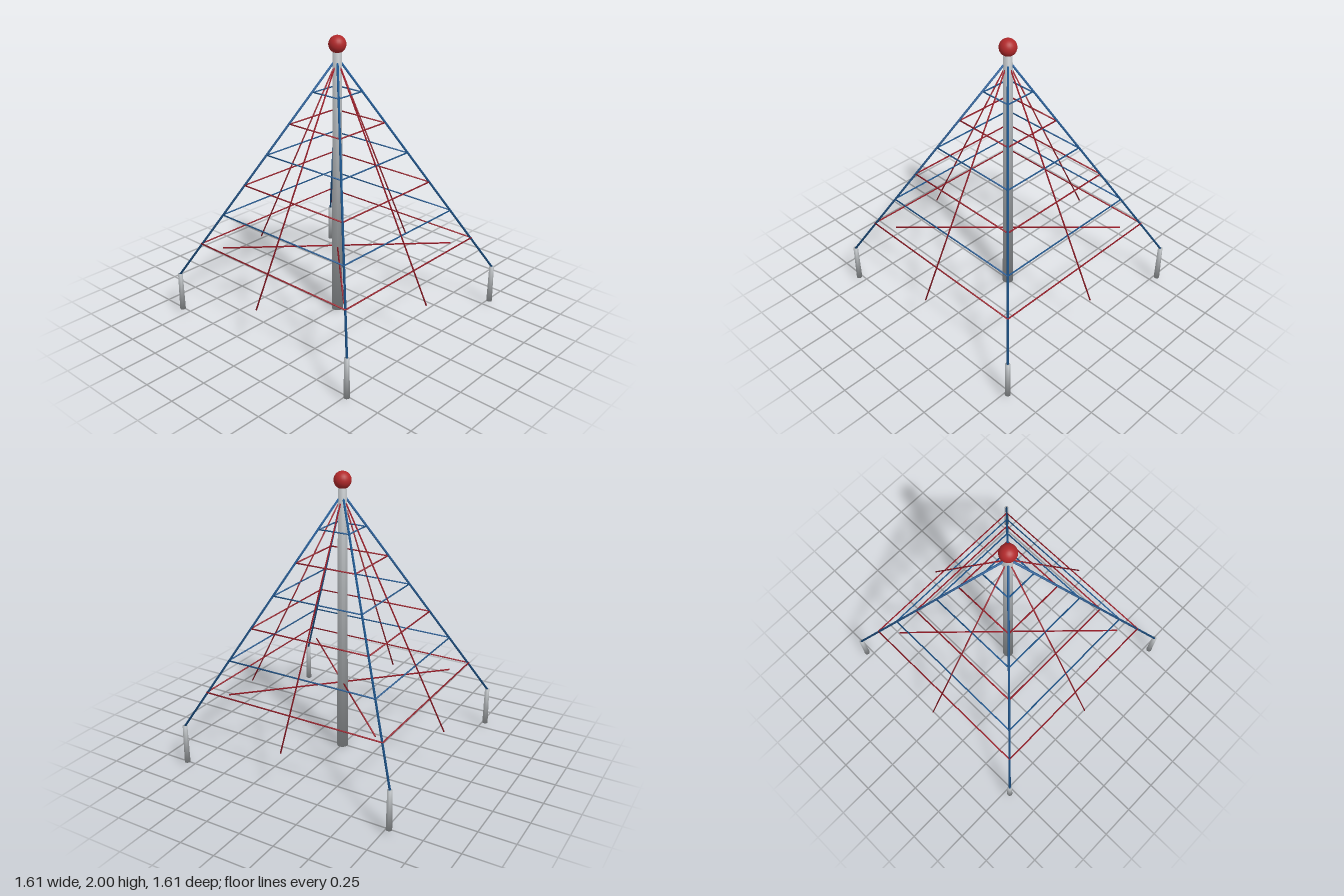
import * as THREE from 'three';

const paint = (name, color) => {
  const m = new THREE.MeshStandardMaterial({ color });
  m.name = name;
  return m;
};

// Cylinder whose shading rolls softly over its ends
function softCylinder(top, bottom, height, sides) {
  const geometry = new THREE.CylinderGeometry(top, bottom, height, sides);
  const { position, normal } = geometry.attributes;
  const n = new THREE.Vector3();
  for (let i = 0; i < position.count; i++) {
    n.fromBufferAttribute(position, i);
    n.y = Math.sign(n.y) * (n.y > 0 ? top : bottom);
    n.normalize();
    normal.setXYZ(i, n.x, n.y, n.z);
  }
  return geometry;
}

export function createModel() {
  const steel = paint('galvanised steel', 0xacb0b3);
  const blue = paint('blue rope', 0x1f5a94);
  const red = paint('red rope', 0x9c1c28);
  const ballRed = paint('ball red', 0xb1292b);

  const model = new THREE.Group();
  model.name = 'climbingNet';
  const add = (name, geometry, material, x = 0, y = 0, z = 0) => {
    const mesh = new THREE.Mesh(geometry, material);
    mesh.name = name;
    mesh.position.set(x, y, z);
    model.add(mesh);
    return mesh;
  };

  // Straight rope between two points
  const up = new THREE.Vector3(0, 1, 0);
  const rope = (name, a, b, radius, material) => {
    const start = new THREE.Vector3(...a), end = new THREE.Vector3(...b);
    const dir = end.clone().sub(start);
    const mid = start.add(end).multiplyScalar(0.5);
    const mesh = add(name, softCylinder(radius, radius, dir.length(), 8), material, mid.x, mid.y, mid.z);
    mesh.quaternion.setFromUnitVectors(up, dir.normalize());
  };

  // Tapered mast with a ball on top
  add('mast', softCylinder(0.03, 0.04, 1.9, 20), steel, 0, 0.95, 0);
  add('topBall', new THREE.SphereGeometry(0.059, 24, 16), ballRed, 0, 1.941, 0);

  // Corner anchor posts, main ropes and low diagonal spokes
  const corners = [[1, 1], [1, -1], [-1, -1], [-1, 1]];
  for (const [sx, sz] of corners) {
    add('anchorPost', softCylinder(0.0165, 0.02, 0.28, 12), steel, sx * 0.786, 0.166, sz * 0.786);
    rope('cornerRope', [sx * 0.016, 1.822, sz * 0.016], [sx * 0.786, 0.304, sz * 0.786], 0.0075, blue);
    rope('lowSpoke', [0, 0.502, 0], [sx * 0.567, 0.502, sz * 0.567], 0.0055, red);
  }

  // Thin ropes down the middle of each face
  for (const [dx, dz] of [[1, 0], [-1, 0], [0, 1], [0, -1]]) {
    rope('faceRope', [dx * 0.016, 1.81, dz * 0.016], [dx * 0.787, 0.322, dz * 0.787], 0.005, red);
  }

  // Square rings, alternating in colour from the top down
  for (let i = 1; i <= 6; i++) {
    const h = 0.112 * i, y = 1.838 - 0.2165 * i;
    corners.forEach(([sx, sz], k) => {
      const [nx, nz] = corners[(k + 1) % 4];
      rope('ringRope', [sx * h, y, sz * h], [nx * h, y, nz * h], 0.005, i % 2 ? blue : red);
    });
  }
  return model;
}
